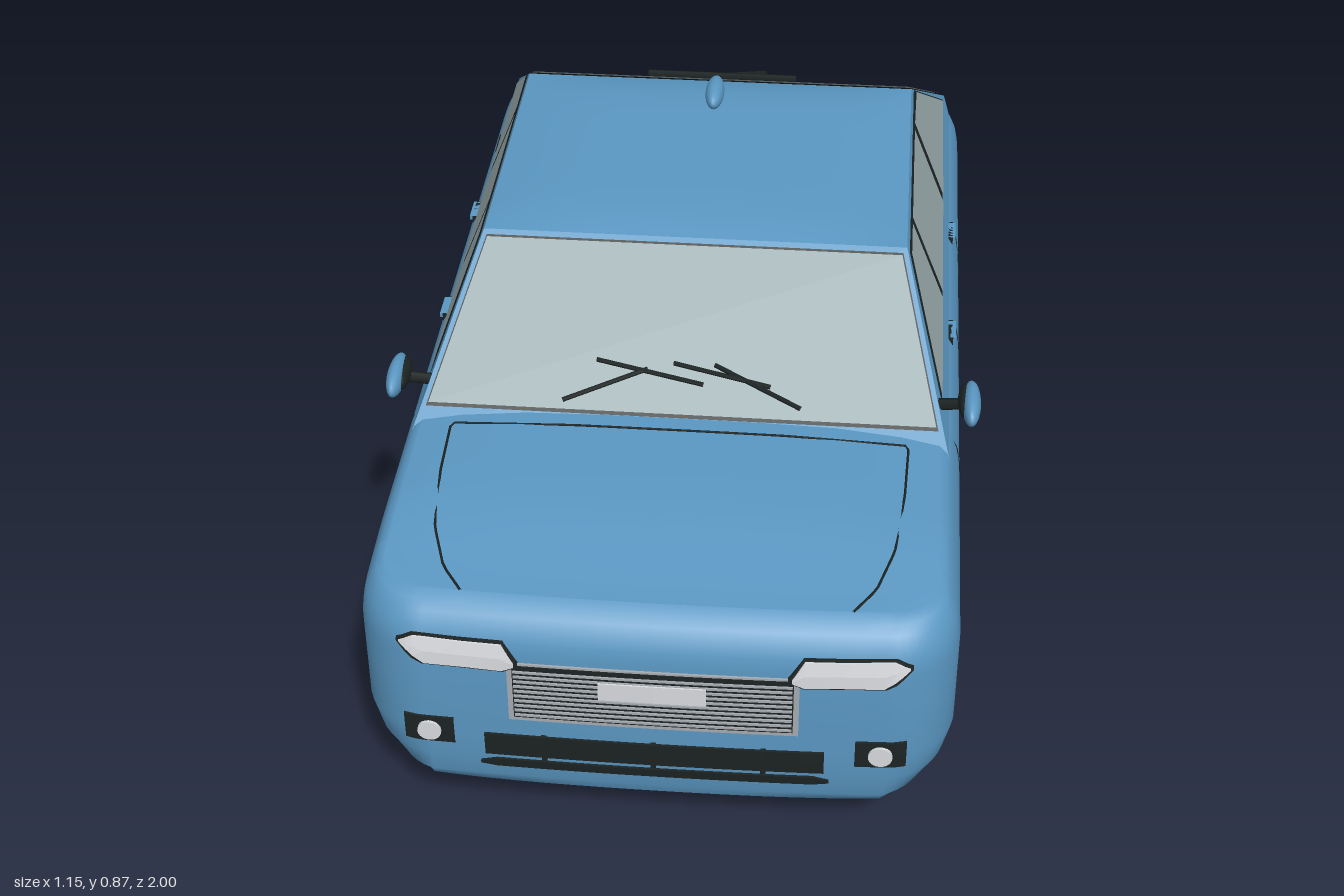
import * as THREE from 'three';

const mat = (name, color) => {
  const m = new THREE.MeshStandardMaterial({ color, side: THREE.DoubleSide });
  m.name = name;
  return m;
};
const PAINT = mat('blue paint', 0x5a97c2), BLACK = mat('black rubber', 0x1c2423), GLASS = mat('grey glass', 0x97a8ab),
  LIGHT = mat('light alloy', 0xd8dade), CHROME = mat('chrome', 0xa6abb0), RED = mat('red lamp', 0xb01d1f), STEEL = mat('brake steel', 0x8b9ba8);

// Body plan: half width, half length, corner radius
const W = 0.544, L = 0.988, R = 0.13, CX = W - R, CZ = L - 0.05 * CX * CX - R;
// Section rows: height and inset from the plan outline
const ROWS = [[0.125, 0.1], [0.15, 0.05], [0.2, 0.015], [0.26, 0], [0.36, 0], [0.45, 0], [0.49, 0.004],
  [0.52, 0.01], [0.545, 0.02], [0.562, 0.03], [0.57, 0.045]];
const insetAt = y => {
  for (let i = 1; i < ROWS.length; i++) {
    const [y0, a] = ROWS[i - 1], [y1, b] = ROWS[i];
    if (y <= y1) return a + (b - a) * Math.max(0, (y - y0) / (y1 - y0));
  }
  return 0.045;
};
const smooth = THREE.MathUtils.smoothstep;
const endDrop = z => z > 0 ? 0.74 + 0.26 * smooth(L - z, 0, 0.32) : 0.87 + 0.13 * smooth(L + z, 0.03, 0.17);
const crown = z => 0.016 * smooth(L - Math.abs(z), 0.05, 0.4);
const deckY = (x, z) => 0.45 + 0.12 * endDrop(z) + crown(z) * (1 - (x / 0.5) ** 4);
const endZ = (x, y) => {
  const ax = Math.abs(x);
  const z = ax < CX ? L - 0.05 * ax * ax : CZ + Math.sqrt(Math.max(0, R * R - (ax - CX) ** 2));
  return z - (y > 0.45 ? 1.5 * insetAt(0.45 + (y - 0.45) / 0.75) : y < 0.26 ? 0.2 * insetAt(y) : 0);
};

function grid(points, closed) {
  // points[i][j]; i runs along, j runs up
  const n = points.length, m = points[0].length, idx = [];
  for (let i = 0; i < (closed ? n : n - 1); i++) for (let j = 0; j < m - 1; j++) {
    const a = i * m + j, b = ((i + 1) % n) * m + j;
    idx.push(a, b, b + 1, a, b + 1, a + 1);
  }
  const g = new THREE.BufferGeometry();
  g.setAttribute('position', new THREE.Float32BufferAttribute(points.flat(2), 3));
  g.setIndex(idx);
  g.computeVertexNormals();
  return g;
}

function bodyGeometry() {
  const quarter = [];
  const end = (x, z, nx, nz) => quarter.push({ x, z, nx, nz, yb: 0.125 + 0.02 * (x / W) ** 4, kind: 'end' });
  for (let i = 0; i < 8; i++) end(CX * i / 8, L - 0.05 * (CX * i / 8) ** 2, 0, 1);
  for (let i = 0; i <= 10; i++) {
    const a = i / 10 * Math.PI / 2, s = Math.sin(a), c = Math.cos(a);
    end(CX + R * s, CZ + R * c, s, c);
  }
  end(W, 0.802, 1, 0);
  const side = (z, yb, kind) => quarter.push({ x: W, z, nx: 1, nz: 0, yb, kind });
  for (let i = 0; i <= 24; i++) side(0.59 + 0.21 * Math.cos(i / 24 * Math.PI), 0.195 + 0.21 * Math.sin(i / 24 * Math.PI), 'arch');
  for (const z of [0.378, 0.25, 0.12, 0]) side(z, 0.18, 'sill');
  const half = [...quarter, ...quarter.slice(0, -1).reverse().map(c => ({ ...c, z: -c.z, nz: -c.nz }))];
  const loop = [...half, ...half.slice(1, -1).reverse().map(c => ({ ...c, x: -c.x, nx: -c.nx }))];
  return grid(loop.map(c => {
    const col = ROWS.map(([ry]) => {
      let y = Math.max(ry, c.yb), k = insetAt(c.kind === 'end' ? ry : y);
      k *= y < 0.26 ? 0.2 + 0.8 * Math.abs(c.nx) : 1 + 0.5 * Math.abs(c.nz);
      const z = c.z - c.nz * k;
      if (y > 0.45) y = 0.45 + (y - 0.45) * endDrop(z);
      return [c.x - c.nx * k, y, z];
    });
    const [bx, by, bz] = col[0], [tx, ty, tz] = col[col.length - 1];
    const under = c.kind === 'end' ? [0, 0.125, bz] : [bx - Math.sign(bx) * (c.kind === 'arch' ? 0.11 : 0.06), by, bz];
    const top = [0.85, 0.6, 0.3, 0].map(s => [tx * s, ty + crown(tz) * (1 - s ** 4), tz]);
    return [under, ...col, ...top];
  }), true);
}

export function createModel() {
  const car = new THREE.Group();
  car.name = 'car';
  const add = (name, geo, m, parent = car) => {
    const mesh = new THREE.Mesh(geo, m);
    mesh.name = name;
    parent.add(mesh);
  };
  const box = (name, m, w, h, d, x, y, z, parent) => add(name, new THREE.BoxGeometry(w, h, d).translate(x, y, z), m, parent);
  const ball = (name, m, w, h, d, x, y, z) => add(name, new THREE.SphereGeometry(1, 20, 14).scale(w, h, d).translate(x, y, z), m);
  const poly = (name, m, pts) => {
    const g = new THREE.BufferGeometry();
    g.setAttribute('position', new THREE.Float32BufferAttribute(pts.flat(), 3));
    g.setIndex(pts.slice(2).flatMap((_, i) => [0, i + 1, i + 2]));
    g.computeVertexNormals();
    add(name, g, m);
  };
  const line = (name, m, pts, r = 0.0025) => {
    const path = new THREE.CurvePath();
    const v = pts.map(p => new THREE.Vector3(...p));
    for (let i = 1; i < v.length; i++) path.add(new THREE.LineCurve3(v[i - 1], v[i]));
    add(name, new THREE.TubeGeometry(path, 8 * (v.length - 1), r, 5), m);
  };
  // Thin plate on the curved nose (dir 1) or tail (dir -1); columns are [x, bottom, top]
  const plate = (name, m, cols, off, dir = 1) => {
    const fine = [cols[0]];
    for (let i = 1; i < cols.length; i++) {
      const a = cols[i - 1], n = Math.ceil(Math.abs(cols[i][0] - a[0]) / 0.02);
      for (let k = 1; k <= n; k++) fine.push(a.map((v, q) => v + (cols[i][q] - v) * k / n));
    }
    const g = grid(fine.map(([x, y0, y1]) => [[y0, off - 0.009], [y0, off], [(y0 + y1) / 2, off], [y1, off], [y1, off - 0.009]]
      .map(([y, o]) => [x, y, endZ(x, y) + o]))).toNonIndexed();
    g.computeVertexNormals();
    if (dir < 0) g.rotateY(Math.PI);
    add(name, g, m);
  };
  const rect = (x0, x1, y0, y1) => [[x0, y0, y1], [x1, y0, y1]];
  const flip = (cols, s) => s > 0 ? cols : cols.map(([x, a, b]) => [-x, a, b]).reverse();

  // Body shell and floor
  add('body', bodyGeometry(), PAINT);
  poly('frontPan', PAINT, [[-0.4, 0.126, 0.805], [-0.4, 0.19, 0.39], [0.4, 0.19, 0.39], [0.4, 0.126, 0.805]]);
  box('floor', PAINT, 0.9, 0.006, 0.77, 0, 0.135, 0.005);
  box('rearFloor', BLACK, 0.8, 0.02, 0.5, 0, 0.18, -0.6);

  // Cabin
  const cw = y => 0.508 - (y - 0.58) * 0.4;
  const fz = y => 0.425 - (y - 0.59) * 1.5, rz = y => -0.86 + (y - 0.6) * 1.69;
  const T = 0.797, B = 0.54;
  const screen = (name, m, zf, y0, y1, inset, off, dir) => poly(name, m,
    [[-cw(y0) + inset, y0 + off, zf(y0) + off * dir], [cw(y0) - inset, y0 + off, zf(y0) + off * dir],
      [cw(y1) - inset, y1 + off, zf(y1) + off * dir], [-cw(y1) + inset, y1 + off, zf(y1) + off * dir]]);
  screen('cabinFront', PAINT, fz, B, T, 0, 0, 1);
  screen('windscreenSeal', BLACK, fz, 0.586, 0.79, 0.01, 0.002, 1);
  screen('windscreen', GLASS, fz, 0.59, 0.787, 0.013, 0.004, 1);
  screen('cabinRear', PAINT, rz, 0.58, T, 0.006, 0, -1);
  screen('rearWindowSeal', BLACK, rz, 0.598, 0.794, 0.006, 0.002, -1);
  screen('rearWindow', GLASS, rz, 0.602, 0.791, 0.011, 0.004, -1);
  const zc = (fz(T) + rz(T)) / 2, zh = (fz(T) - rz(T)) / 2;
  add('roof', grid(Array.from({ length: 17 }, (_, i) => Array.from({ length: 17 }, (_, j) => {
    const u = i / 8 - 1, v = 1 - j / 8;
    return [u * cw(T), T + 0.02 * (1 - u ** 4) * (1 - v ** 6), zc + zh * v];
  }))), PAINT);
  for (const s of [1, -1]) {
    const wall = (name, m, zy, off) => poly(name, m, zy.map(([z, y]) => [s * (cw(y) + off), y, z]));
    wall('cabinSide', PAINT, [[fz(T), T], [fz(B), B], [-0.83, B], [rz(0.59), 0.59], [rz(T), T]], 0);
    wall('sideWindowSeal', BLACK, [[0.36, 0.602], [-0.835, 0.602], [-0.54, 0.788], [0.118, 0.788]], 0.002);
    wall('frontSideWindow', GLASS, [[0.347, 0.607], [0.002, 0.607], [0.002, 0.784], [0.114, 0.784]], 0.005);
    wall('rearSideWindow', GLASS, [[-0.02, 0.607], [-0.374, 0.607], [-0.374, 0.784], [-0.02, 0.784]], 0.005);
    wall('quarterWindow', GLASS, [[-0.402, 0.607], [-0.815, 0.611], [-0.548, 0.779], [-0.402, 0.784]], 0.005);

    // Mirrors, handles, seams and wheel arch lips
    ball('mirror', PAINT, 0.018, 0.028, 0.065, s * 0.556, 0.63, 0.395);
    ball('mirrorBack', BLACK, 0.016, 0.022, 0.05, s * 0.546, 0.628, 0.385);
    line('mirrorStem', BLACK, [[s * 0.49, 0.606, 0.37], [s * 0.545, 0.622, 0.385]], 0.012);
    for (const z of [0.045, -0.335]) {
      box('handleRecess', BLACK, 0.02, 0.016, 0.066, s * 0.516, 0.551, z);
      box('doorHandle', PAINT, 0.022, 0.01, 0.06, s * 0.521, 0.554, z);
    }
    const seam = (name, zy) => line(name, BLACK, zy.map(([z, y]) => [s * (W - insetAt(y)), y, z]));
    seam('frontDoorSeam', [[0.395, 0.565], [0.39, 0.52], [0.38, 0.45], [0.372, 0.26], [0.37, 0.2]]);
    seam('middleDoorSeam', [[-0.01, 0.565], [-0.01, 0.52], [-0.012, 0.45], [-0.008, 0.26], [0, 0.19]]);
    seam('rearDoorSeam', [[-0.375, 0.565], [-0.365, 0.52], [-0.345, 0.45], [-0.31, 0.36], [-0.29, 0.26], [-0.265, 0.19]]);
    seam('sillSeam', [[0.37, 0.19], [-0.37, 0.19]]);
    if (s < 0) seam('fuelFlapSeam', [[-0.6, 0.555], [-0.6, 0.5], [-0.67, 0.5], [-0.67, 0.555], [-0.6, 0.555]]);
    for (const z of [0.59, -0.59])
      add('archLip', new THREE.TorusGeometry(0.214, 0.013, 8, 32, Math.PI).rotateY(Math.PI / 2).translate(s * 0.533, 0.195, z), PAINT);
    line('bonnetSeam', BLACK, [[0, 0.47], [0.2, 0.47], [0.44, 0.47], [0.435, 0.62], [0.42, 0.77], [0.39, 0.86], [0.35, 0.915]]
      .map(([x, z]) => [s * x, deckY(x, z) + 0.001, z]));

    // Lamps
    plate('headlampTrim', BLACK, flip([[0.241, 0.436, 0.444], [0.268, 0.422, 0.485], [0.35, 0.425, 0.486], [0.415, 0.426, 0.488], [0.433, 0.437, 0.488], [0.461, 0.467, 0.473]], s), 0.005);
    plate('headlamp', LIGHT, flip([[0.248, 0.436, 0.443], [0.27, 0.426, 0.481], [0.34, 0.429, 0.482], [0.411, 0.43, 0.485], [0.43, 0.445, 0.485], [0.456, 0.469, 0.471]], s), 0.008);
    plate('fogLampHousing', BLACK, flip(rect(0.365, 0.458, 0.235, 0.295), s), 0.005);
    add('fogLamp', new THREE.CylinderGeometry(0.022, 0.022, 0.02, 20).rotateX(Math.PI / 2).translate(s * 0.411, 0.265, 0.98), LIGHT);
    plate('tailLampTrim', BLACK, flip([[0.255, 0.428, 0.442], [0.295, 0.382, 0.444], [0.31, 0.349, 0.445], [0.4, 0.348, 0.447], [0.53, 0.348, 0.447]], s), 0.005, -1);
    plate('tailLamp', RED, flip([[0.268, 0.43, 0.436], [0.302, 0.388, 0.438], [0.318, 0.356, 0.439], [0.4, 0.354, 0.441], [0.526, 0.354, 0.441]], s), 0.008, -1);
    plate('reverseLamp', LIGHT, flip([[0.325, 0.36, 0.366], [0.47, 0.36, 0.394], [0.485, 0.36, 0.38]], s), 0.012, -1);
    for (const y of [0.4, 0.42]) plate('tailLampRib', BLACK, flip(rect(0.3, 0.5, y, y + 0.003), s), 0.01, -1);
    add('exhaust', new THREE.CylinderGeometry(0.015, 0.015, 0.06, 14, 1, true).rotateX(Math.PI / 2).translate(s * 0.36, 0.175, -0.965), CHROME);
  }

  // Grille, intakes and number plates
  plate('grilleFrame', CHROME, rect(-0.262, 0.262, 0.306, 0.442), 0.004);
  plate('grilleBack', BLACK, rect(-0.252, 0.252, 0.315, 0.438), 0.006);
  for (let i = 0; i < 10; i++) plate('grilleBar', CHROME, rect(-0.25, 0.25, 0.32 + i * 0.0115, 0.3245 + i * 0.0115), 0.009);
  plate('frontNumberPlate', LIGHT, rect(-0.097, 0.097, 0.376, 0.415), 0.012);
  plate('lowerIntake', BLACK, rect(-0.31, 0.31, 0.213, 0.265), 0.005);
  for (const x of [-0.2, 0, 0.2]) plate('intakeDivider', BLACK, rect(x - 0.005, x + 0.005, 0.21, 0.268), 0.009);
  plate('chinLip', BLACK, [[-0.32, 0.186, 0.192], [-0.29, 0.181, 0.201], [0.29, 0.181, 0.201], [0.32, 0.186, 0.192]], 0.005);
  plate('rearBumper', PAINT, rect(-0.535, 0.535, 0.268, 0.342), 0.008, -1);
  plate('rearPlateFrame', BLACK, rect(-0.125, 0.125, 0.29, 0.358), 0.01, -1);
  plate('rearNumberPlate', LIGHT, rect(-0.108, 0.108, 0.298, 0.348), 0.012, -1);
  plate('rearDiffuser', BLACK, rect(-0.4, 0.4, 0.19, 0.262), 0.008, -1);

  // Roof antenna, high brake lamp and wipers
  ball('antenna', PAINT, 0.02, 0.025, 0.06, 0, 0.84, -0.4);
  const onRear = (x, y, o = 0) => [x, y + 0.012 + o, rz(y) - 0.008 - o], onFront = (x, y) => [x, y + 0.008, fz(y) + 0.008];
  line('brakeLampHousing', BLACK, [onRear(-0.165, 0.752), onRear(0.165, 0.752)], 0.009);
  line('brakeLamp', RED, [onRear(-0.145, 0.745), onRear(0.145, 0.745)], 0.008);
  line('rearWiper', BLACK, [onRear(-0.125, 0.615), onRear(0.09, 0.668, 0.012)], 0.006);
  for (const [a, b, c, d] of [[-0.23, 0.6, -0.07, 0.64], [-0.17, 0.648, 0.04, 0.625], [-0.02, 0.648, 0.17, 0.626], [0.06, 0.648, 0.23, 0.603]])
    line('wiper', BLACK, [onFront(a, b), onFront(c, d)], 0.005);

  // Wheels, axle along x with the outer face at +x
  const lathe = pts => new THREE.LatheGeometry(pts.map(p => new THREE.Vector2(...p)), 40).rotateZ(-Math.PI / 2);
  for (const s of [1, -1]) for (const z of [0.59, -0.59]) {
    const wheel = new THREE.Group();
    wheel.name = 'wheel';
    add('tyre', lathe([[0.135, -0.06], [0.17, -0.066], [0.188, -0.054], [0.195, -0.035], [0.195, 0.035], [0.188, 0.054], [0.17, 0.066], [0.138, 0.06]]), BLACK, wheel);
    add('rim', lathe([[0.135, -0.06], [0.124, -0.03], [0.122, 0.02], [0.128, 0.05], [0.14, 0.063]]), LIGHT, wheel);
    add('brakeDisc', new THREE.CylinderGeometry(0.105, 0.105, 0.015, 32).rotateZ(Math.PI / 2), STEEL, wheel);
    box('caliper', BLACK, 0.03, 0.08, 0.035, 0.012, 0.02, -0.088, wheel);
    add('hub', new THREE.CylinderGeometry(0.028, 0.034, 0.03, 20).rotateZ(-Math.PI / 2).translate(0.043, 0, 0), LIGHT, wheel);
    for (let i = 0; i < 5; i++) for (const k of [-1, 1]) {
      const g = new THREE.BoxGeometry(0.016, 0.112, 0.013).rotateX(k * 0.07).translate(0.044, 0.076, k * 0.011);
      add('spoke', g.rotateX(i / 5 * Math.PI * 2), LIGHT, wheel);
    }
    wheel.position.set(s * 0.478, 0.195, z);
    if (s < 0) wheel.rotation.y = Math.PI;
    car.add(wheel);
  }
  return car;
}
